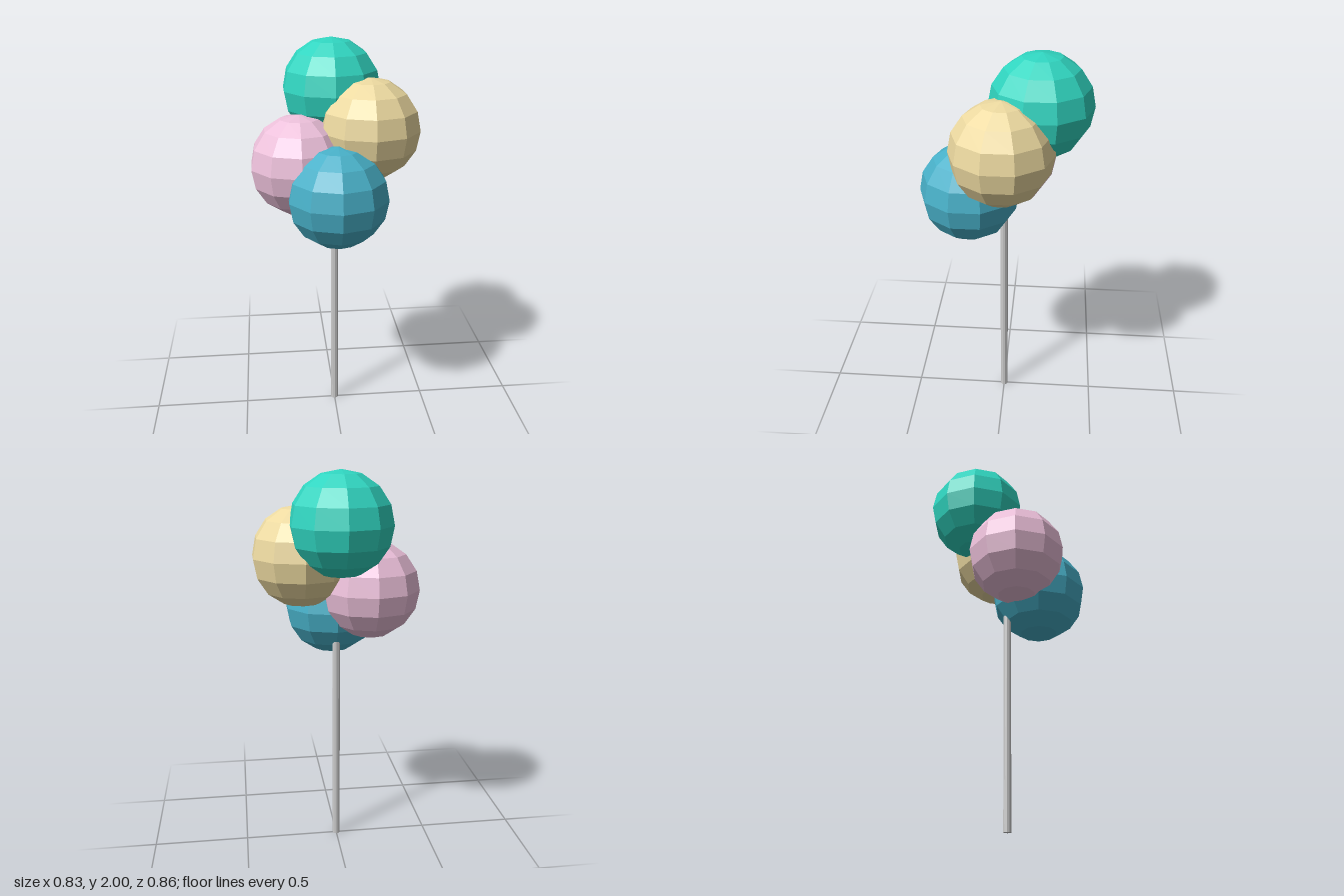
import * as THREE from 'three';

const RADIUS = 0.254;
const OFFSET = 0.175;
const STICK_HEIGHT = 1.3;

function addPart(group, name, geometry, color, x, y, z) {
  const material = new THREE.MeshStandardMaterial({ color, flatShading: true });
  const mesh = new THREE.Mesh(geometry, material);
  mesh.name = name;
  mesh.position.set(x, y, z);
  group.add(mesh);
}

export function createModel() {
  const group = new THREE.Group();
  group.name = 'ballsOnStick';

  // Thin stick, its top hidden inside the balls
  const stick = new THREE.CylinderGeometry(0.02, 0.02, STICK_HEIGHT, 10);
  addPart(group, 'stick', stick, 0xcccccc, 0, STICK_HEIGHT / 2, 0);

  // Faceted balls winding up around the stick, with corners pointing along z
  const ball = new THREE.SphereGeometry(RADIUS, 10, 8).rotateY(Math.PI / 2);
  const balls = [
    ['frontBall', 0x48b0c8, 0, 1.283, OFFSET],
    ['rightBall', 0xecc0da, -OFFSET, 1.4, 0],
    ['leftBall', 0xecd9a0, OFFSET, 1.574, 0],
    ['backBall', 0x30d5c0, 0, 2 - RADIUS, -OFFSET],
  ];
  for (const [name, color, x, y, z] of balls) {
    addPart(group, name, ball, color, x, y, z);
  }

  return group;
}
